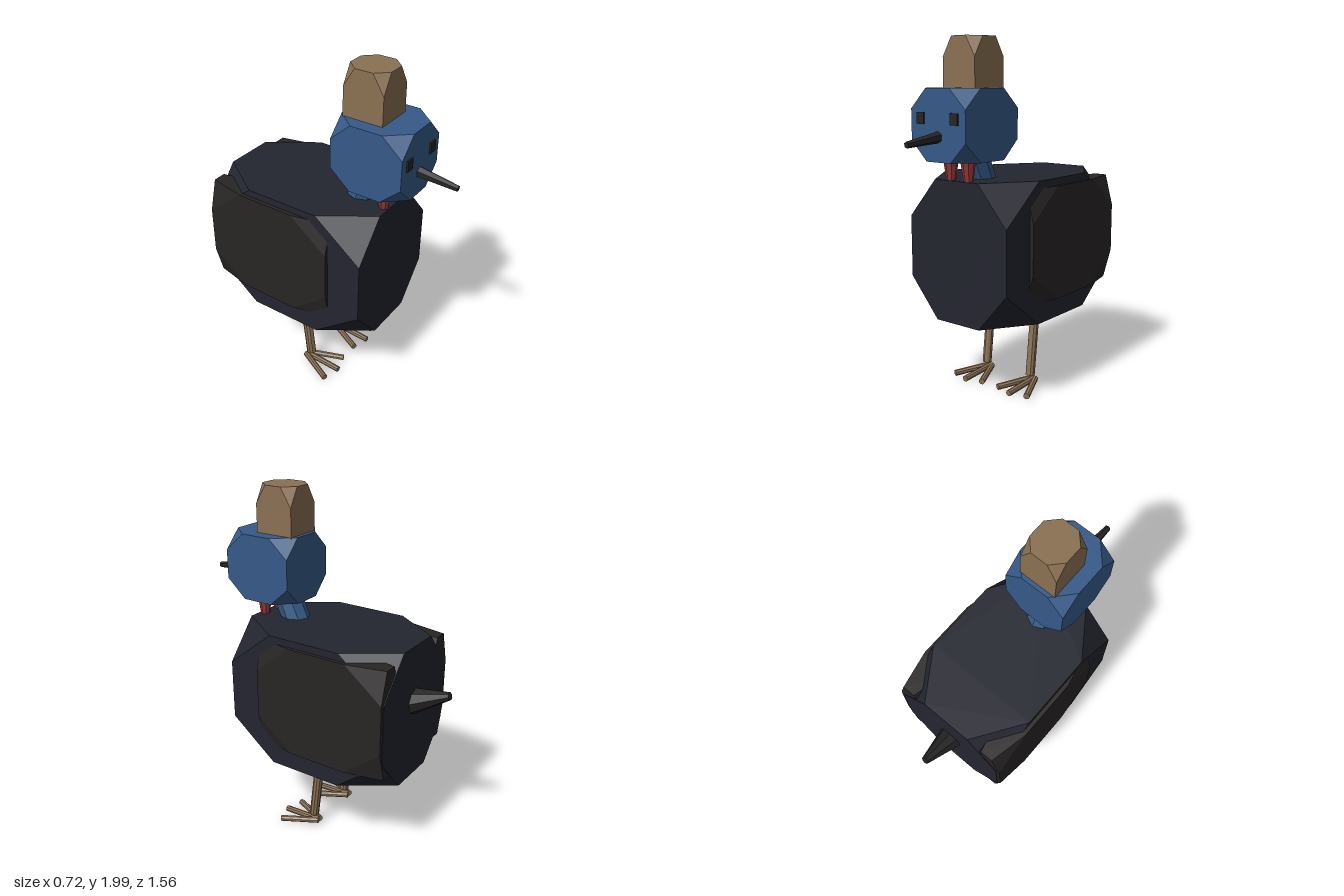
import * as THREE from 'three';
import { ConvexGeometry } from 'three/addons/geometries/ConvexGeometry.js';

const mat = (color) => new THREE.MeshStandardMaterial({ color, flatShading: true });
const plumage = mat(0x23252f), wingMat = mat(0x282525), blue = mat(0x365a88);
const tan = mat(0x8a7052), red = mat(0x943838), black = mat(0x262425);

// Box with its eight corners cut off, given by its minimum and maximum corners
function cutBox(name, min, max, material, cut = 0.28) {
  const c = min.map((v, i) => (v + max[i]) / 2);
  const h = min.map((v, i) => (max[i] - v) / 2);
  const points = [];
  for (const sx of [-1, 1]) for (const sy of [-1, 1]) for (const sz of [-1, 1]) {
    for (let axis = 0; axis < 3; axis++) {
      const p = [sx, sy, sz].map((s, i) => c[i] + s * h[i] * (i === axis ? 1 - 2 * cut : 1));
      points.push(new THREE.Vector3(...p));
    }
  }
  const mesh = new THREE.Mesh(new ConvexGeometry(points), material);
  mesh.name = name;
  return mesh;
}

// Tapered rod between two points
function rod(name, from, to, r0, r1, sides, material) {
  const a = new THREE.Vector3(...from), b = new THREE.Vector3(...to);
  const dir = b.clone().sub(a);
  const mesh = new THREE.Mesh(new THREE.CylinderGeometry(r1, r0, dir.length(), sides), material);
  mesh.position.copy(a).add(b).multiplyScalar(0.5);
  mesh.quaternion.setFromUnitVectors(new THREE.Vector3(0, 1, 0), dir.normalize());
  mesh.name = name;
  return mesh;
}

export function createModel() {
  const model = new THREE.Group();
  model.name = 'bird';

  // Body, neck, head and tall crest
  model.add(cutBox('body', [-0.34, 0.46, -0.573], [0.34, 1.25, 0.43], plumage));
  model.add(rod('neck', [0, 1.08, 0.15], [0, 1.5, 0.34], 0.08, 0.08, 8, blue));
  model.add(cutBox('head', [-0.187, 1.36, 0.14], [0.187, 1.735, 0.56], blue));
  model.add(cutBox('crest', [-0.11, 1.62, 0.163], [0.11, 2, 0.398], tan));

  // Beak and tail
  model.add(rod('beak', [0, 1.495, 0.5], [0, 1.465, 0.78], 0.034, 0.017, 6, black));
  model.add(rod('tail', [0, 0.89, -0.48], [0, 1.005, -0.775], 0.095, 0.022, 8, black));

  for (const side of [-1, 1]) {
    const name = side > 0 ? 'left' : 'right';

    // Wing slab set into the flank
    const x0 = 0.19 * side, x1 = 0.362 * side;
    model.add(cutBox(name + 'Wing', [Math.min(x0, x1), 0.575, -0.57], [Math.max(x0, x1), 1.21, 0.23], wingMat));

    // Eye and wattle
    const eye = new THREE.Mesh(new THREE.BoxGeometry(0.05, 0.06, 0.04), black);
    eye.position.set(0.116 * side, 1.583, 0.549);
    eye.name = name + 'Eye';
    model.add(eye);
    model.add(rod(name + 'Wattle', [0.061 * side, 1.4, 0.4], [0.061 * side, 1.22, 0.398], 0.047, 0.022, 8, red));

    // Leg with three spread toes
    const x = 0.165 * side;
    const leg = new THREE.Group();
    leg.name = name + 'Leg';
    leg.add(rod('shin', [x, 0.55, -0.07], [x, 0.07, -0.015], 0.028, 0.028, 10, tan));
    for (const spread of [-1, 0, 1]) {
      leg.add(rod('toe', [x + spread * 0.01, 0.036, -0.05],
        [x + spread * 0.105, 0.023, spread ? 0.16 : 0.19], 0.018, 0.018, 8, tan));
    }
    model.add(leg);
  }
  return model;
}
